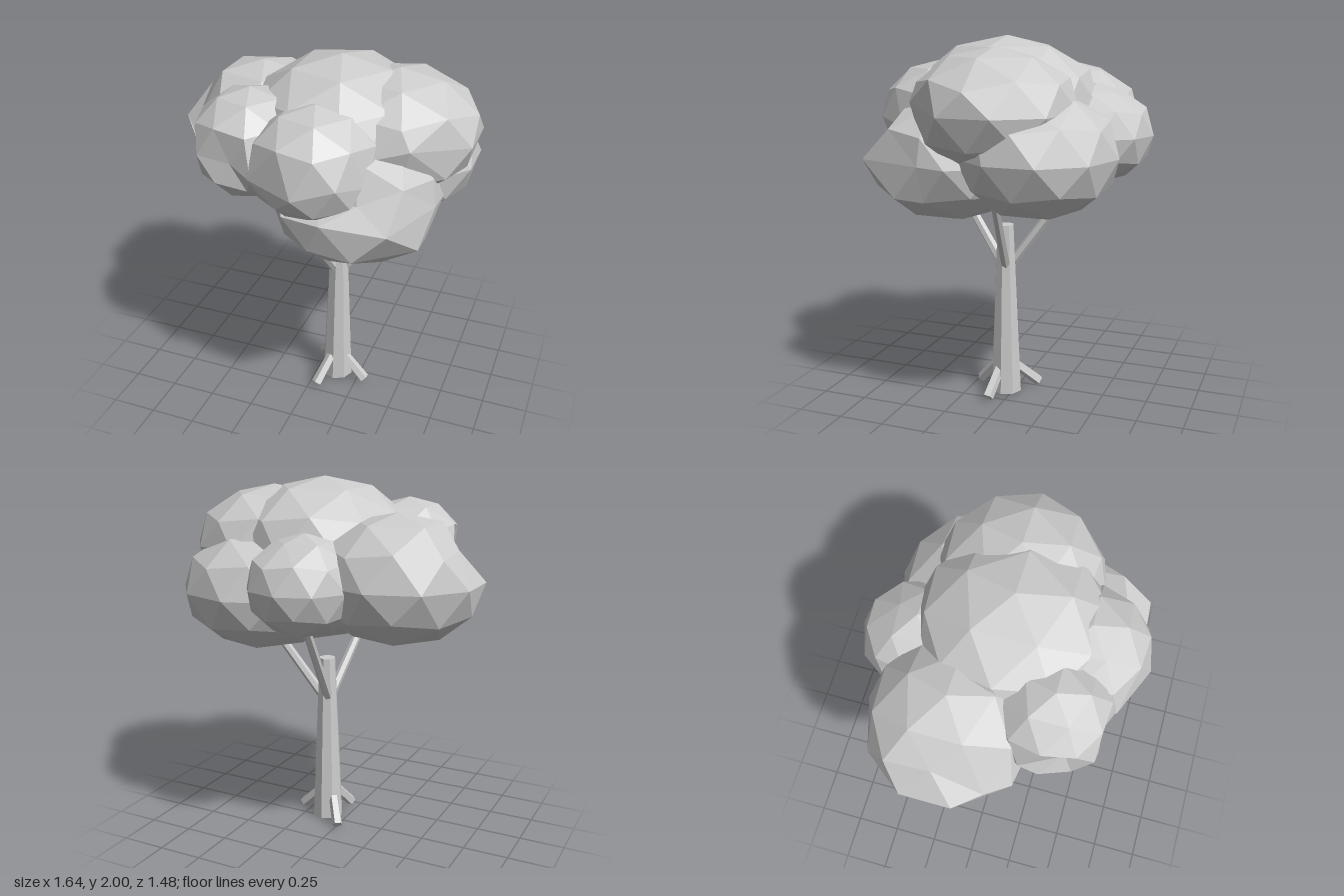
import * as THREE from 'three';

export function createModel() {
  const tree = new THREE.Group();
  tree.name = 'tree';
  const grey = new THREE.MeshStandardMaterial({ color: 0xcccccc, flatShading: true });
  grey.name = 'plainGrey';

  function group(name) {
    const g = new THREE.Group();
    g.name = name;
    tree.add(g);
    return g;
  }

  function add(parent, name, geometry) {
    const mesh = new THREE.Mesh(geometry, grey);
    mesh.name = name;
    parent.add(mesh);
    return mesh;
  }

  // Tapered limb running between two points
  function limb(parent, name, from, to, r0, r1, sides) {
    const a = new THREE.Vector3(...from), b = new THREE.Vector3(...to);
    const dir = b.clone().sub(a);
    const mesh = add(parent, name, new THREE.CylinderGeometry(r1, r0, dir.length(), sides));
    mesh.position.copy(a).add(b).multiplyScalar(0.5);
    mesh.quaternion.setFromUnitVectors(new THREE.Vector3(0, 1, 0), dir.normalize());
  }

  // Faceted ball with a corner straight up; each listed point pulls the
  // nearest free corner onto itself to make the clump irregular
  function clumpGeometry(centre, radii, corners) {
    const geo = new THREE.IcosahedronGeometry(1, 1);
    geo.rotateZ(-Math.atan2(2, 1 + Math.sqrt(5)));
    geo.scale(...radii);
    geo.translate(...centre);
    const pos = geo.attributes.position;
    const moved = new Set();
    const v = new THREE.Vector3();
    for (const corner of corners) {
      const target = new THREE.Vector3(...corner);
      const nearest = new THREE.Vector3(Infinity, 0, 0);
      for (let i = 0; i < pos.count; i++) {
        v.fromBufferAttribute(pos, i);
        if (!moved.has(i) && v.distanceTo(target) < nearest.distanceTo(target)) nearest.copy(v);
      }
      for (let i = 0; i < pos.count; i++) {
        v.fromBufferAttribute(pos, i);
        if (v.distanceTo(nearest) < 1e-4) {
          pos.setXYZ(i, ...corner);
          moved.add(i);
        }
      }
    }
    geo.computeVertexNormals();
    return geo;
  }

  // Trunk
  limb(tree, 'trunk', [0.118, 0.01, 0.04], [0.119, 0.98, 0.041], 0.089, 0.047, 8);

  // Three branches spreading up into the canopy
  const branches = group('branches');
  [
    ['leftBranch', [0.15, 0.76, 0.03], [0.55, 1.3, -0.05]],
    ['frontBranch', [0.105, 0.76, 0.07], [0.0, 1.3, 0.46]],
    ['backBranch', [0.1, 0.76, 0.01], [0.04, 1.3, -0.38]],
  ].forEach(([name, from, to]) => limb(branches, name, from, to, 0.027, 0.022, 6));

  // Three short roots reaching the ground
  const roots = group('roots');
  [
    ['leftRoot', [0.165, 0.155, 0.06], [0.3, 0.025, 0.08]],
    ['frontRoot', [0.1, 0.16, 0.1], [0.05, 0.025, 0.217]],
    ['backRoot', [0.06, 0.14, 0], [-0.02, 0.025, -0.108]],
  ].forEach(([name, from, to]) => limb(roots, name, from, to, 0.028, 0.031, 5));

  // Leaf clumps: name, centre, radii, pulled corners
  const canopy = group('canopy');
  [
    ['topClump', [0.12, 1.63, 0.025], [0.49, 0.37, 0.51], []],
    ['rightClump', [-0.39, 1.51, -0.16], [0.45, 0.34, 0.42],
      [[-0.63, 1.5, 0.22], [-0.71, 1.5, 0.1], [-0.71, 1.68, -0.15]]],
    ['frontRightClump', [-0.255, 1.59, 0.32], [0.31, 0.29, 0.31],
      [[-0.13, 1.52, 0.62], [-0.26, 1.57, 0.57], [-0.44, 1.58, 0.43]]],
    ['frontClump', [0.12, 1.57, 0.4], [0.34, 0.3, 0.335],
      [[0.12, 1.515, 0.735], [0.42, 1.53, 0.5], [-0.15, 1.53, 0.62], [-0.17, 1.4, 0.45]]],
    ['lowerFrontClump', [0.285, 1.365, 0.27], [0.44, 0.335, 0.44],
      [[0.565, 1.375, 0.66], [0.7, 1.375, 0.28], [0.4, 1.21, 0.67], [0.66, 1.2, 0.43],
        [0.24, 1.38, 0.68], [0.39, 1.46, 0.57], [0.17, 1.47, 0.52]]],
    ['leftClump', [0.41, 1.635, -0.02], [0.435, 0.315, 0.44],
      [[0.82, 1.755, -0.02], [0.58, 1.68, 0.37]]],
    ['lowerBackClump', [0.36, 1.415, -0.23], [0.45, 0.33, 0.42], []],
    ['backClump', [0, 1.49, -0.43], [0.3, 0.265, 0.31], [[0.05, 1.71, -0.54]]],
  ].forEach(([name, centre, radii, corners]) =>
    add(canopy, name, clumpGeometry(centre, radii, corners)));

  return tree;
}
